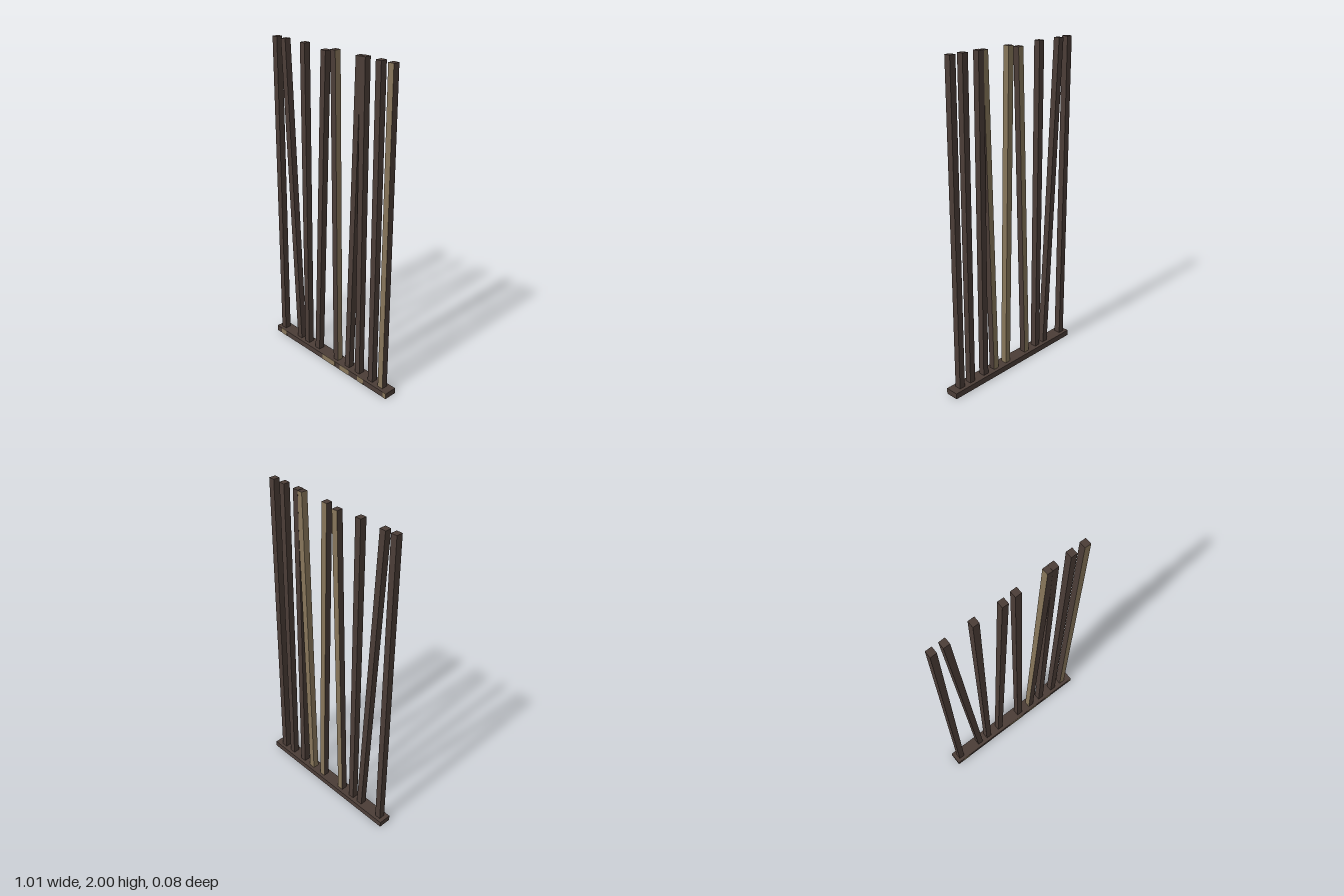
import * as THREE from 'three';

export function createModel() {
  const model = new THREE.Group();
  const dark = new THREE.MeshStandardMaterial({ color: 0x4b3d37 });
  dark.name = 'dark wood';
  const light = new THREE.MeshStandardMaterial({ color: 0x87765a });
  light.name = 'light wood';

  // Base rail
  const base = new THREE.Mesh(new THREE.BoxGeometry(1.01, 0.037, 0.082), dark);
  base.name = 'baseRail';
  base.position.y = 0.0185;
  model.add(base);

  // Pale worn patches on the front of the rail: [from x, to x]
  for (const [a, b] of [[-0.46, -0.41], [-0.05, 0.065], [0.11, 0.19], [0.265, 0.315], [0.48, 0.505]]) {
    const patch = new THREE.Mesh(new THREE.BoxGeometry(b - a, 0.037, 0.002), light);
    patch.name = 'railPatch';
    patch.position.set((a + b) / 2, 0.0185, 0.041);
    model.add(patch);
  }

  // Slats: [bottom x, top x, top y, pale faces]; box faces run +x -x +y -y +z -z
  const slats = [
    [-0.46, -0.46, 2, []],
    [-0.295, -0.387, 1.998, []],
    [-0.222, -0.222, 2, []],
    [-0.122, -0.054, 1.985, [5]],
    [0.052, 0.022, 1.999, [0, 5]],
    [0.153, 0.212, 1.998, [1, 5]],
    [0.243, 0.243, 2, []],
    [0.354, 0.354, 2, []],
    [0.438, 0.438, 2, [4]],
  ];
  const foot = 0.02;
  slats.forEach(([x0, x1, top, pale], i) => {
    const dx = x1 - x0, dy = top - foot;
    // leaning slats are a hair thinner so crossing faces stay clean
    const depth = dx ? 0.0394 : 0.04;
    const faces = [0, 1, 2, 3, 4, 5].map(f => (pale.includes(f) ? light : dark));
    const slat = new THREE.Mesh(new THREE.BoxGeometry(0.038, Math.hypot(dx, dy), depth), faces);
    slat.name = 'slat' + (i + 1);
    slat.position.set((x0 + x1) / 2, (foot + top) / 2, 0);
    slat.rotation.z = -Math.atan2(dx, dy);
    model.add(slat);
  });
  return model;
}
